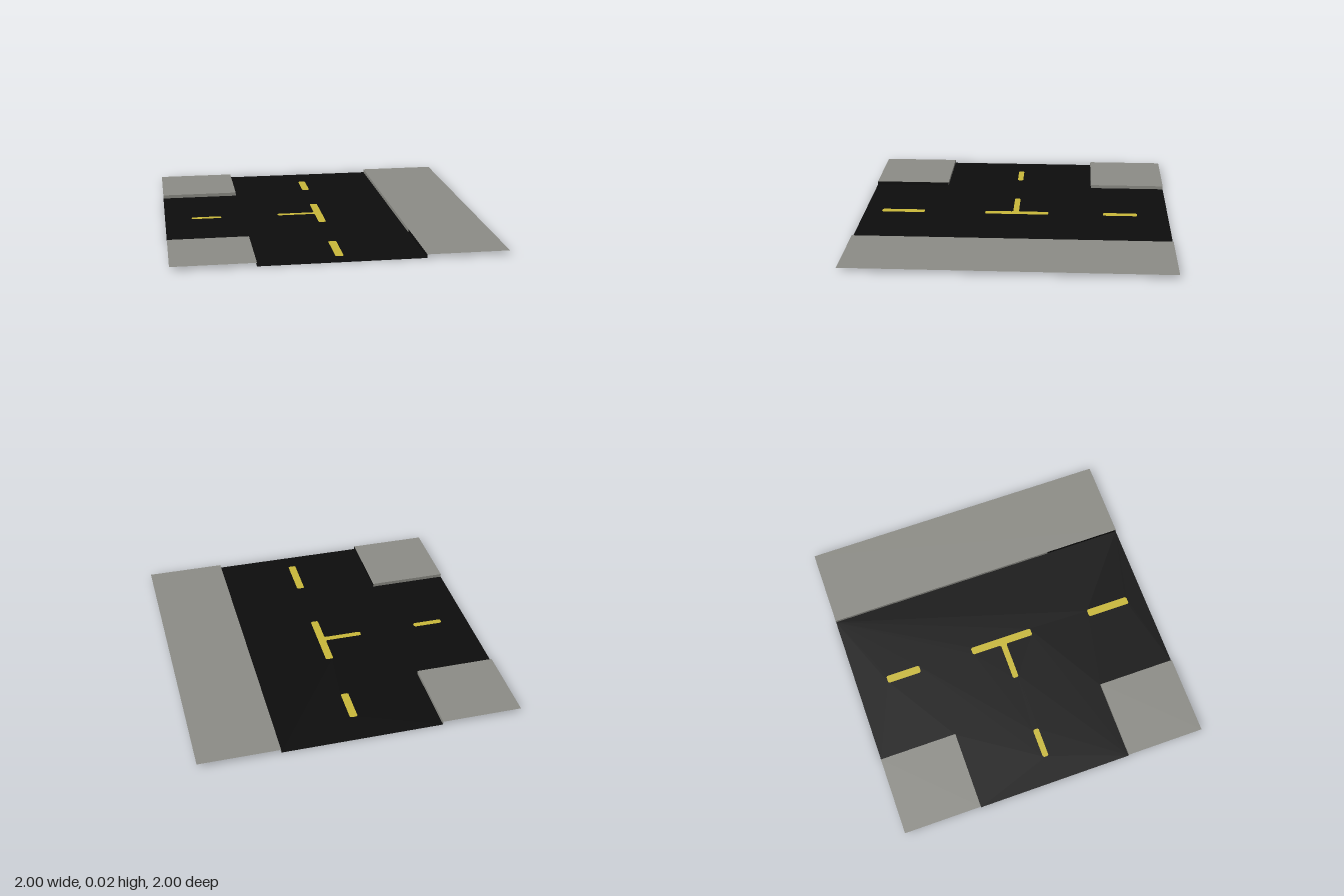
import * as THREE from 'three';

const CURB = 0.022; // pavement height above the road

function material(name, color) {
  const m = new THREE.MeshStandardMaterial({ color, side: THREE.DoubleSide });
  m.name = name;
  return m;
}

// Closed shape from [x, z] points, drawn so that it can be laid on the ground
const outline = (points) => new THREE.Shape(points.map(([x, z]) => new THREE.Vector2(x, -z)));

// Rectangle with slightly cut corners
function dash(x0, x1, z0, z1, c = 0.008) {
  return outline([
    [x0 + c, z0], [x1 - c, z0], [x1, z0 + c], [x1, z1 - c],
    [x1 - c, z1], [x0 + c, z1], [x0, z1 - c], [x0, z0 + c],
  ]);
}

export function createModel() {
  const group = new THREE.Group();
  const asphalt = material('asphalt', 0x0d0d0d);
  const paint = material('yellowPaint', 0xcab93a);
  const concrete = material('concrete', 0x8d8d87);

  function add(name, geometry, mat) {
    const mesh = new THREE.Mesh(geometry, mat);
    mesh.name = name;
    group.add(mesh);
    return mesh;
  }
  function sheet(name, shape, mat, y = 0) {
    add(name, new THREE.ShapeGeometry(shape).rotateX(-Math.PI / 2), mat).position.y = y;
  }
  // Upright curb face between two ground points
  function curb(name, [x0, z0], [x1, z1], mat) {
    const g = new THREE.PlaneGeometry(Math.hypot(x1 - x0, z1 - z0), CURB);
    const mesh = add(name, g, mat);
    mesh.position.set((x0 + x1) / 2, CURB / 2, (z0 + z1) / 2);
    mesh.rotation.y = -Math.atan2(z1 - z0, x1 - x0);
  }

  // Lane markings, set flush into the road
  const c = 0.008;
  const markings = {
    backDash: dash(-0.022, 0.027, -0.8, -0.575),
    frontDash: dash(-0.026, 0.024, 0.605, 0.888),
    sideDash: dash(-0.828, -0.636, -0.02, 0.018),
    junctionMark: outline([
      [-0.022 + c, -0.215], [0.027 - c, -0.215], [0.027, -0.215 + c], [0.027, 0.202 - c],
      [0.027 - c, 0.202], [-0.022 + c, 0.202], [-0.022, 0.202 - c], [-0.022, 0.026],
      [-0.03, 0.018], [-0.265 + c, 0.018], [-0.265, 0.018 - c], [-0.265, -0.02 + c],
      [-0.265 + c, -0.02], [-0.03, -0.02], [-0.022, -0.028], [-0.022, -0.215 + c],
    ]),
  };

  // Three-way road with openings for the markings
  const road = outline([
    [-0.5, -1], [0.5, -1], [0.5, 1], [-0.5, 1],
    [-0.5, 0.5], [-1, 0.5], [-1, -0.5], [-0.5, -0.5],
  ]);
  for (const [name, shape] of Object.entries(markings)) {
    road.holes.push(new THREE.Path(shape.getPoints()));
    sheet(name, shape, paint);
  }
  sheet('road', road, asphalt);

  // Raised pavements
  const slab = (x0, x1, z0, z1) => outline([[x0, z0], [x1, z0], [x1, z1], [x0, z1]]);
  sheet('longPavement', slab(0.5, 1, -1, 1), concrete, CURB);
  sheet('backCornerPavement', slab(-1, -0.5, -1, -0.5), concrete, CURB);
  sheet('frontCornerPavement', slab(-1, -0.5, 0.5, 1), concrete, CURB);

  // Curbs along the road edges
  curb('longCurb', [0.5, -1], [0.5, 0.5], concrete);
  curb('longCurbDarkEnd', [0.5, 0.5], [0.5, 1], asphalt);
  curb('backCornerCurb', [-0.5, -1], [-0.5, -0.5], concrete);
  curb('backCornerSideCurb', [-1, -0.5], [-0.5, -0.5], concrete);
  curb('frontCornerCurb', [-0.5, 0.5], [-0.5, 1], asphalt);
  curb('frontCornerSideCurb', [-1, 0.5], [-0.5, 0.5], concrete);

  return group;
}
